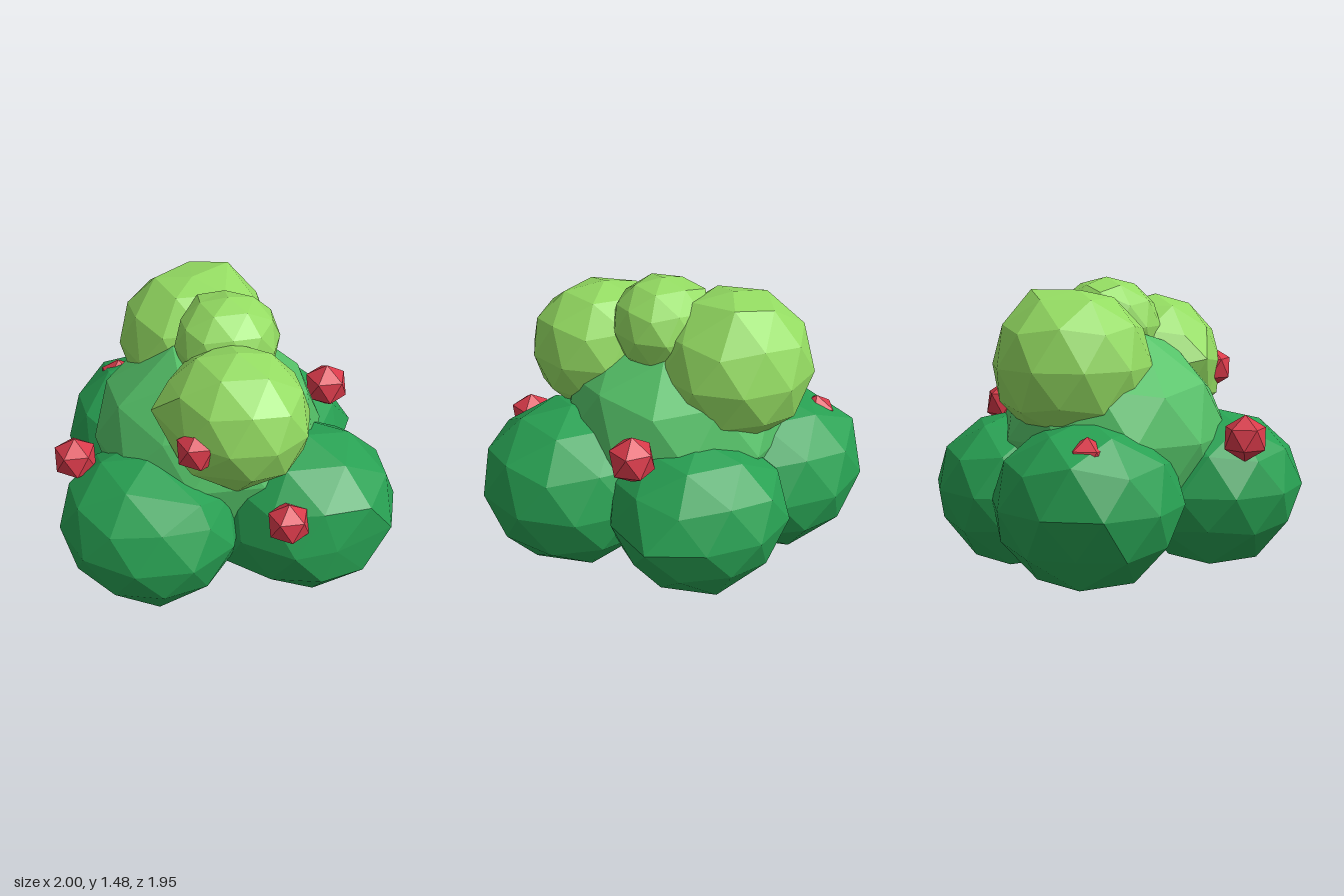
import * as THREE from 'three';

const mat = (name, color, side = THREE.FrontSide) => {
  const m = new THREE.MeshStandardMaterial({ color, side, flatShading: true });
  m.name = name;
  return m;
};

// Icosahedral ball with a corner at its top, stretched to radii r, placed at pos
function ball(pos, r, detail) {
  const g = new THREE.IcosahedronGeometry(1, detail);
  g.rotateX(-Math.atan((1 + Math.sqrt(5)) / 2));
  g.rotateY(Math.PI / 2);
  g.scale(...r);
  g.translate(...pos);
  return g;
}

// Move the corner nearest to each target onto it, for an uneven clump
function pullCorners(g, targets) {
  const p = g.attributes.position;
  const v = new THREE.Vector3();
  for (const t of targets) {
    const target = new THREE.Vector3(...t);
    const nearest = new THREE.Vector3(9, 9, 9);
    for (let i = 0; i < p.count; i++) {
      v.fromBufferAttribute(p, i);
      if (v.distanceTo(target) < nearest.distanceTo(target)) nearest.copy(v);
    }
    for (let i = 0; i < p.count; i++) {
      v.fromBufferAttribute(p, i);
      if (v.distanceTo(nearest) < 1e-4) p.setXYZ(i, ...t);
    }
  }
}

// Bring the lowest corners onto y = 0 and leave the underside open
function openBottom(g) {
  const p = g.attributes.position;
  const kept = [];
  for (let i = 0; i < p.count; i += 3) {
    const corners = [i, i + 1, i + 2];
    for (const j of corners) if (p.getY(j) < 0.06) p.setY(j, 0);
    if (corners.some((j) => p.getY(j) > 0)) kept.push(...corners);
  }
  g.setIndex(kept);
}

export function createModel() {
  const root = new THREE.Group();
  root.name = 'berryBush';
  const darkLeaf = mat('dark leaf green', 0x28a153, THREE.DoubleSide);
  const midLeaf = mat('middle leaf green', 0x55c268);
  const lime = mat('lime green', 0x94dc62);
  const berryRed = mat('berry red', 0xd93a4a);

  const add = (name, g, material) => {
    g.computeVertexNormals();
    const m = new THREE.Mesh(g, material);
    m.name = name;
    root.add(m);
  };

  // Foliage clumps: name, colour, centre, radii, pulled corners
  const clumps = [
    ['frontClump', darkLeaf, [0.06, 0.39, 0.5], [0.49, 0.395, 0.47],
      [[0.43, 0.68, 0.5]]],
    ['leftClump', darkLeaf, [0.53, 0.39, -0.18], [0.494, 0.43, 0.49],
      [[0.93, 0.39, 0.02], [0.38, 0.15, 0.26]]],
    ['rightClump', darkLeaf, [-0.53, 0.39, -0.09], [0.494, 0.42, 0.49],
      [[-0.97, 0.64, -0.1], [-0.9, 0.17, -0.09]]],
    ['backClump', darkLeaf, [-0.1, 0.39, -0.53], [0.475, 0.39, 0.45],
      [[0.2, 0.39, -0.95]]],
    ['middleClump', midLeaf, [-0.04, 0.67, -0.03], [0.62, 0.54, 0.61],
      [[-0.14, 1.2, 0.13], [0.13, 0.88, 0.47]]],
    ['crownRight', lime, [-0.31, 1.05, -0.205], [0.415, 0.4, 0.415],
      [[-0.28, 1.43, -0.42], [-0.3, 1.43, -0.17]]],
    ['crownLeft', lime, [0.335, 1.01, 0.15], [0.4, 0.365, 0.36],
      [[0.04, 1.05, 0.46], [0.46, 0.66, 0.27], [0.36, 0.83, 0.49]]],
    ['crownTop', lime, [0.05, 1.225, -0.08], [0.26, 0.255, 0.29],
      [[-0.17, 1.41, -0.08]]],
  ];
  for (const [name, material, pos, r, corners] of clumps) {
    const g = ball(pos, r, 1);
    pullCorners(g, corners);
    if (material === darkLeaf) openBottom(g);
    add(name, g, material);
  }

  // Berries: centre and radius
  const berries = [
    [-0.31, 0.69, 0.68, 0.12],
    [0.37, 0.97, 0.46, 0.115],
    [0.75, 0.58, 0.2, 0.115],
    [-0.78, 0.65, -0.05, 0.11],
    [0.24, 0.77, -0.67, 0.125],
  ];
  berries.forEach(([x, y, z, r], i) => add(`berry${i + 1}`, ball([x, y, z], [r, r, r], 0), berryRed));

  return root;
}
